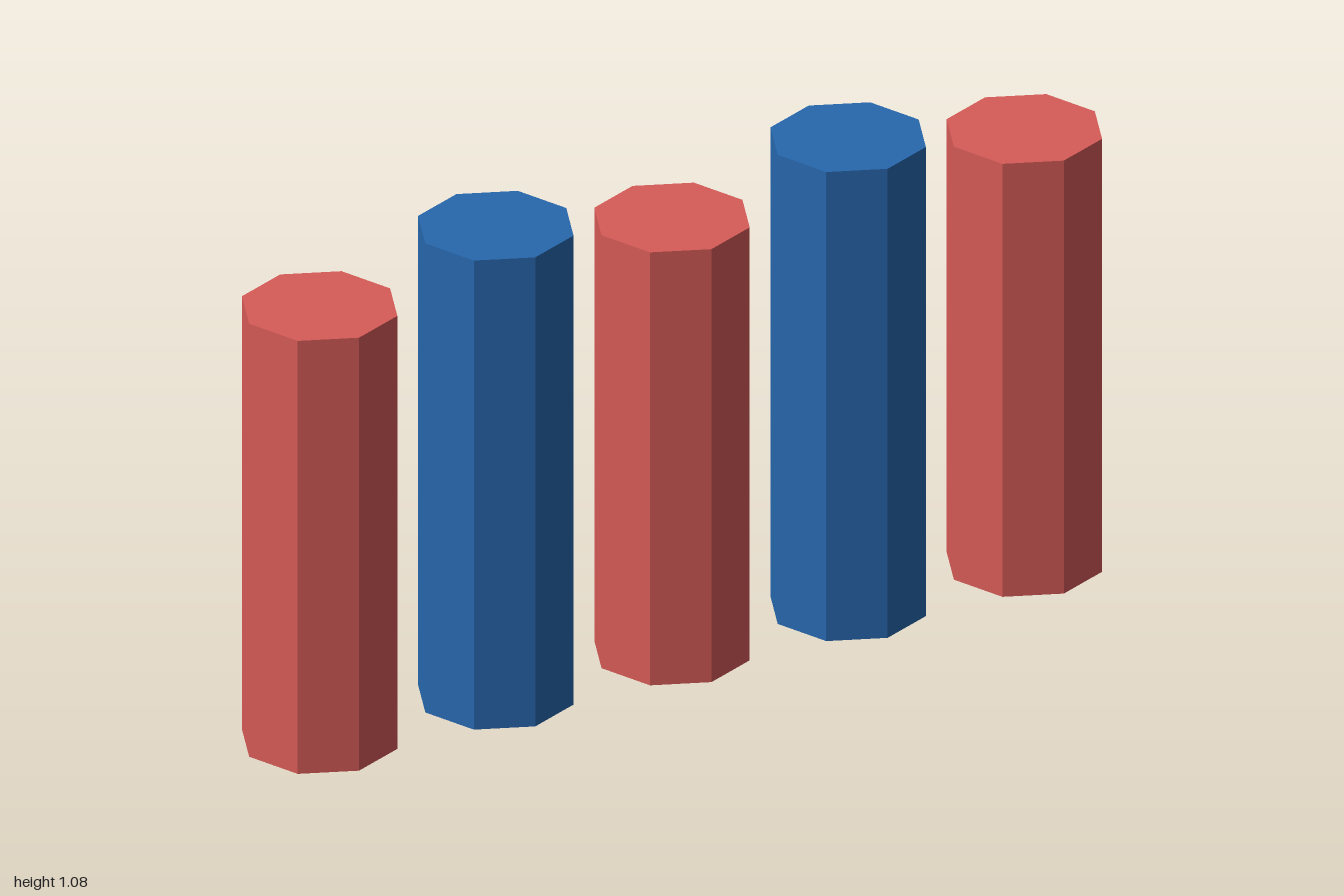
import * as THREE from 'three';

const RADIUS = 1 / 6;
const SPACING = 5 / 12;

export function createModel() {
  const group = new THREE.Group();
  group.name = 'postRow';

  const red = new THREE.MeshStandardMaterial({ color: 0xd75b58, flatShading: true });
  red.name = 'red';
  const blue = new THREE.MeshStandardMaterial({ color: 0x2768ae, flatShading: true });
  blue.name = 'blue';

  // Five octagonal posts: short red ones alternate with taller blue ones
  for (let i = 0; i < 5; i++) {
    const tall = i % 2 === 1;
    const height = tall ? 13 / 12 : 1;
    const post = new THREE.Mesh(
      new THREE.CylinderGeometry(RADIUS, RADIUS, height, 8),
      tall ? blue : red
    );
    post.name = tall ? 'tallBluePost' : 'shortRedPost';
    post.position.set((i - 2) * SPACING, height / 2, 0);
    group.add(post);
  }
  return group;
}
